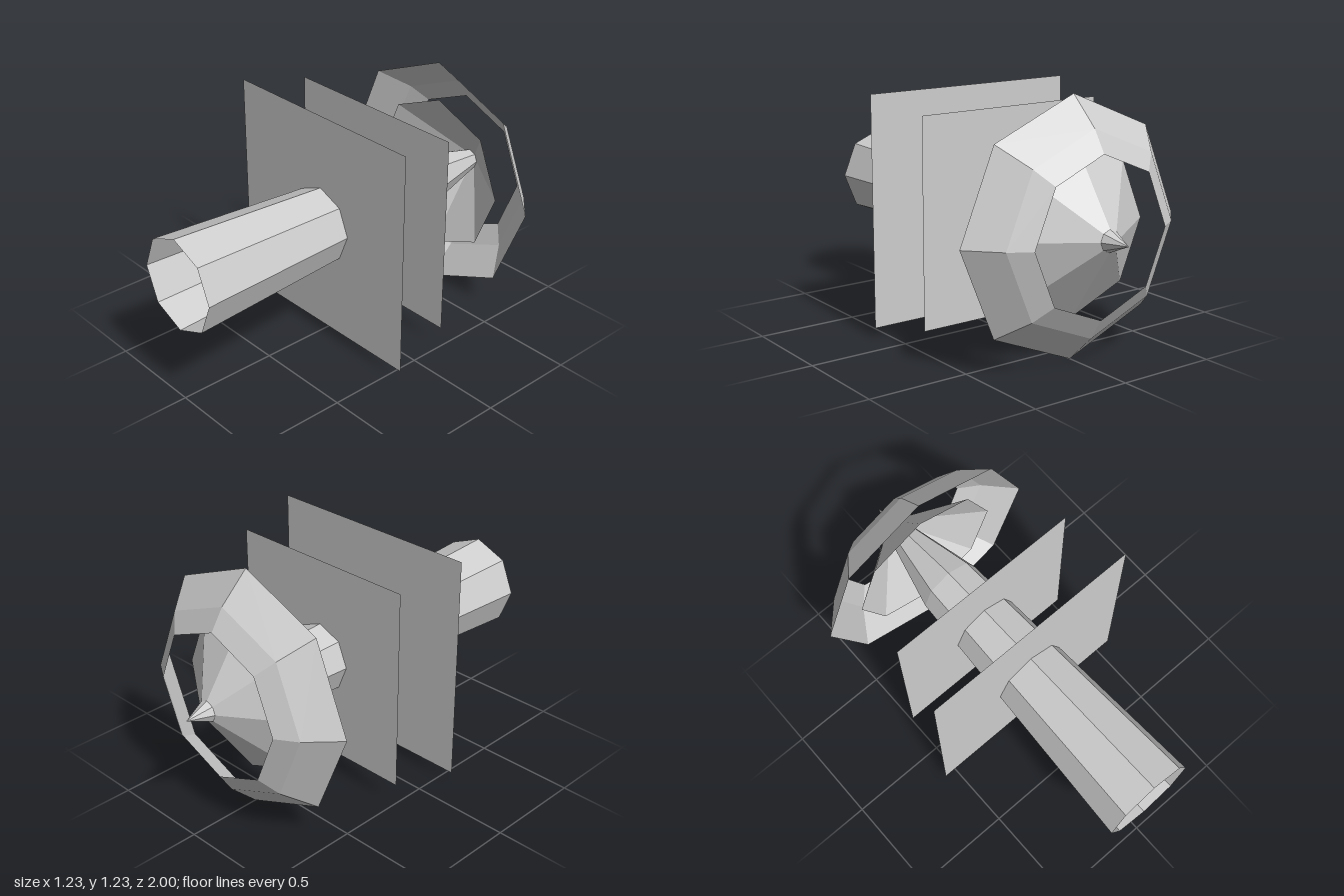
import * as THREE from 'three';

const grey = new THREE.MeshStandardMaterial({ color: 0xcccccc, flatShading: true, side: THREE.DoubleSide });
grey.name = 'light grey';

const AXIS_Y = 0.615;

export function createModel() {
  const group = new THREE.Group();
  group.name = 'spikedHorn';

  const add = (name, geometry, z = 0) => {
    const mesh = new THREE.Mesh(geometry, grey);
    mesh.name = name;
    mesh.position.set(0, AXIS_Y, z);
    group.add(mesh);
  };

  // Eight-sided shell turned about the z axis; profile is a list of [radius, z]
  const turned = (name, profile) => {
    const points = profile.map(([r, z]) => new THREE.Vector2(r, z));
    add(name, new THREE.LatheGeometry(points, 8).rotateX(Math.PI / 2));
  };

  // Long open tube narrowing to a pointed spike at the back
  turned('tube', [[0, -1], [0.052, -0.88], [0.16, -0.44], [0.237, 1]]);

  // Shallow inner cone around the spike
  turned('innerCone', [[0.05, -0.88], [0.41, -0.63]]);

  // Open outer ring, set clear of the cone
  turned('outerRing', [[0.375, -0.83], [0.478, -0.765], [0.615, -0.62]]);

  // Small tapered pin inside the tube
  turned('pin', [[0.043, 0.1], [0.018, 0.35], [0, 0.35]]);

  // Two thin square panels crossing the tube
  add('frontPanel', new THREE.PlaneGeometry(1.135, 1.135), 0.16);
  add('backPanel', new THREE.PlaneGeometry(1.01, 1.01), -0.175);

  return group;
}
